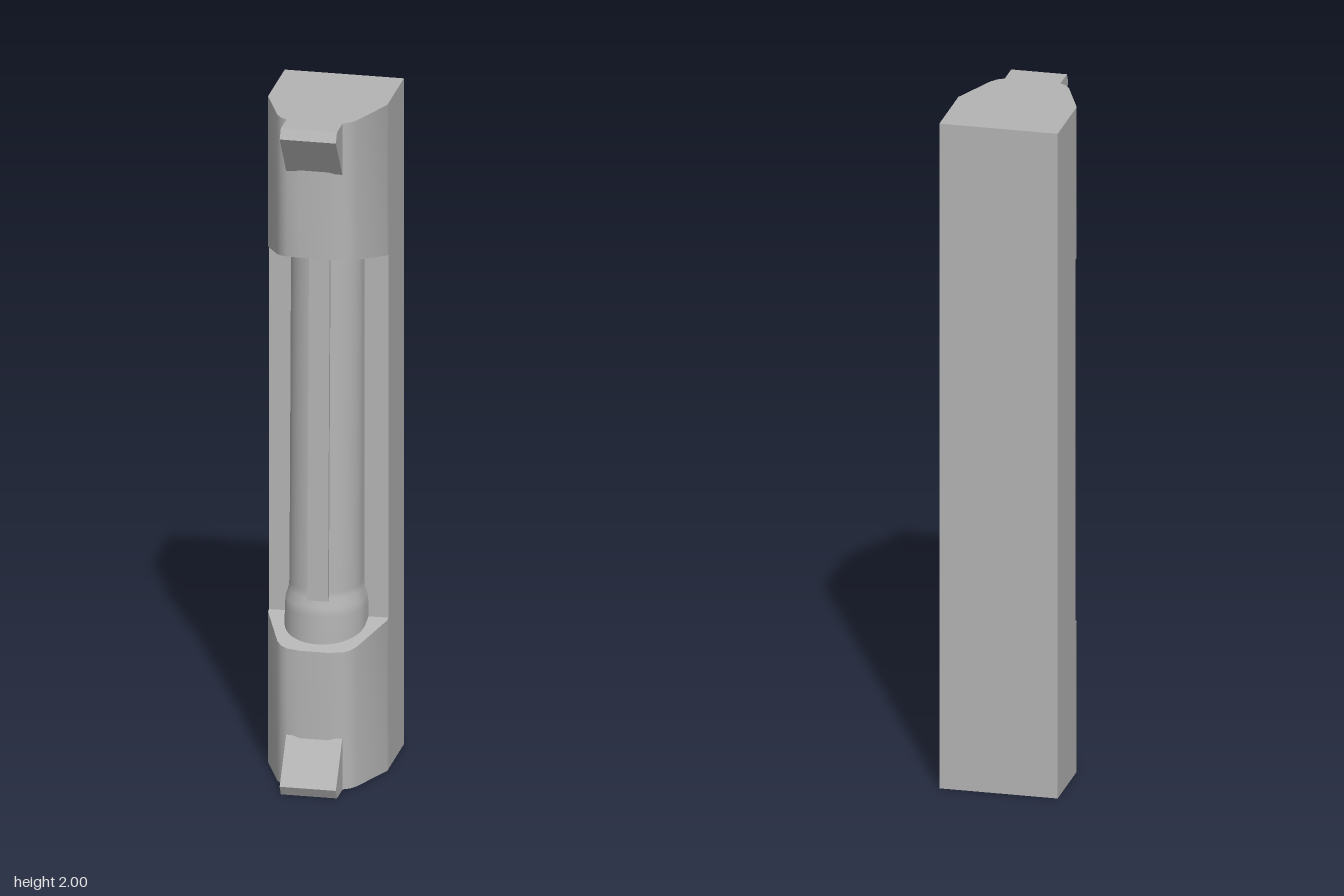
import * as THREE from 'three';
import { toCreasedNormals } from 'three/addons/utils/BufferGeometryUtils.js';

// Extrudes a closed outline given as [x, z] pairs upward along y
function prism(points, height) {
  const shape = new THREE.Shape(points.map(([x, z]) => new THREE.Vector2(x, -z)));
  return new THREE.ExtrudeGeometry(shape, { depth: height, bevelEnabled: false }).rotateX(-Math.PI / 2);
}

// End cap: tapered section whose inner end slopes toward the front
function capGeometry() {
  const half = [[0.172, -0.04], [0.172, -0.022], [0.115, 0.12], [0.1, 0.142], [0.08, 0.155], [0.04, 0.162]];
  const g = prism([...half, ...half.map(([x, z]) => [-x, z]).reverse()], 0.4);
  const p = g.attributes.position;
  for (let i = 0; i < p.count; i++) {
    if (p.getY(i) > 0.2) p.setY(i, 0.455 - (p.getZ(i) + 0.035) * 0.23);
  }
  return toCreasedNormals(g, 0.6);
}

// Wedge lug: side profile in (z, y), extruded across x
function lugGeometry() {
  const profile = [[0.14, 0], [0.23, 0], [0.245, 0.028], [0.158, 0.153], [0.14, 0.153]];
  const shape = new THREE.Shape(profile.map(([z, y]) => new THREE.Vector2(-z, y)));
  const g = new THREE.ExtrudeGeometry(shape, { depth: 0.162, bevelEnabled: false });
  return g.translate(0, 0, -0.081).rotateY(Math.PI / 2);
}

// Column: U-shaped sections [y, radius, centre z] joined from bottom to top
function columnGeometry() {
  const rows = [[0.4, 0.115, 0.009], [0.5, 0.115, 0.007], [0.525, 0.112, 0.006],
    [0.55, 0.105, 0.003], [0.57, 0.103, 0.002], [1.6, 0.103, -0.021]];
  const steps = 24, n = steps + 3, pos = [], index = [];
  for (const [y, r, c] of rows) {
    pos.push(r, y, -0.05);
    for (let i = 0; i <= steps; i++) {
      const a = (i / steps) * Math.PI;
      pos.push(r * Math.cos(a), y, c + r * Math.sin(a));
    }
    pos.push(-r, y, -0.05);
  }
  for (let j = 0; j < rows.length - 1; j++) {
    for (let i = 0; i < n - 1; i++) {
      const a = j * n + i, b = a + 1, c = a + n, d = c + 1;
      index.push(a, b, c, b, d, c);
    }
  }
  const g = new THREE.BufferGeometry();
  g.setAttribute('position', new THREE.Float32BufferAttribute(pos, 3));
  g.setIndex(index);
  g.computeVertexNormals();
  return g;
}

// Raised strip down the front of the column, leaning back with it
function ribGeometry() {
  const g = new THREE.BoxGeometry(0.06, 1.05, 0.03);
  const p = g.attributes.position;
  for (let i = 0; i < p.count; i++) {
    const y = p.getY(i) + 1.07;
    p.setY(i, y);
    p.setZ(i, p.getZ(i) + 0.098 - (y - 0.55) * 0.023);
  }
  g.computeVertexNormals();
  return g;
}

export function createModel() {
  const model = new THREE.Group();
  model.name = 'columnHandle';
  const grey = new THREE.MeshStandardMaterial({ color: 0xb4b4b4, side: THREE.DoubleSide });
  grey.name = 'grey';

  const add = (name, geometry, parent = model) => {
    const mesh = new THREE.Mesh(geometry, grey);
    mesh.name = name;
    parent.add(mesh);
    return mesh;
  };

  // Full-height back block
  add('backBlock', new THREE.BoxGeometry(0.344, 2, 0.21)).position.set(0, 1, -0.14);

  // Matching ends, the upper one turned over
  const cap = capGeometry(), lug = lugGeometry();
  for (const name of ['lower', 'upper']) {
    const end = new THREE.Group();
    end.name = name + 'End';
    add(name + 'Cap', cap, end);
    add(name + 'Lug', lug, end);
    if (name === 'upper') {
      end.rotation.z = Math.PI;
      end.position.y = 2;
    }
    model.add(end);
  }

  add('column', columnGeometry());
  add('columnRib', ribGeometry());
  return model;
}
